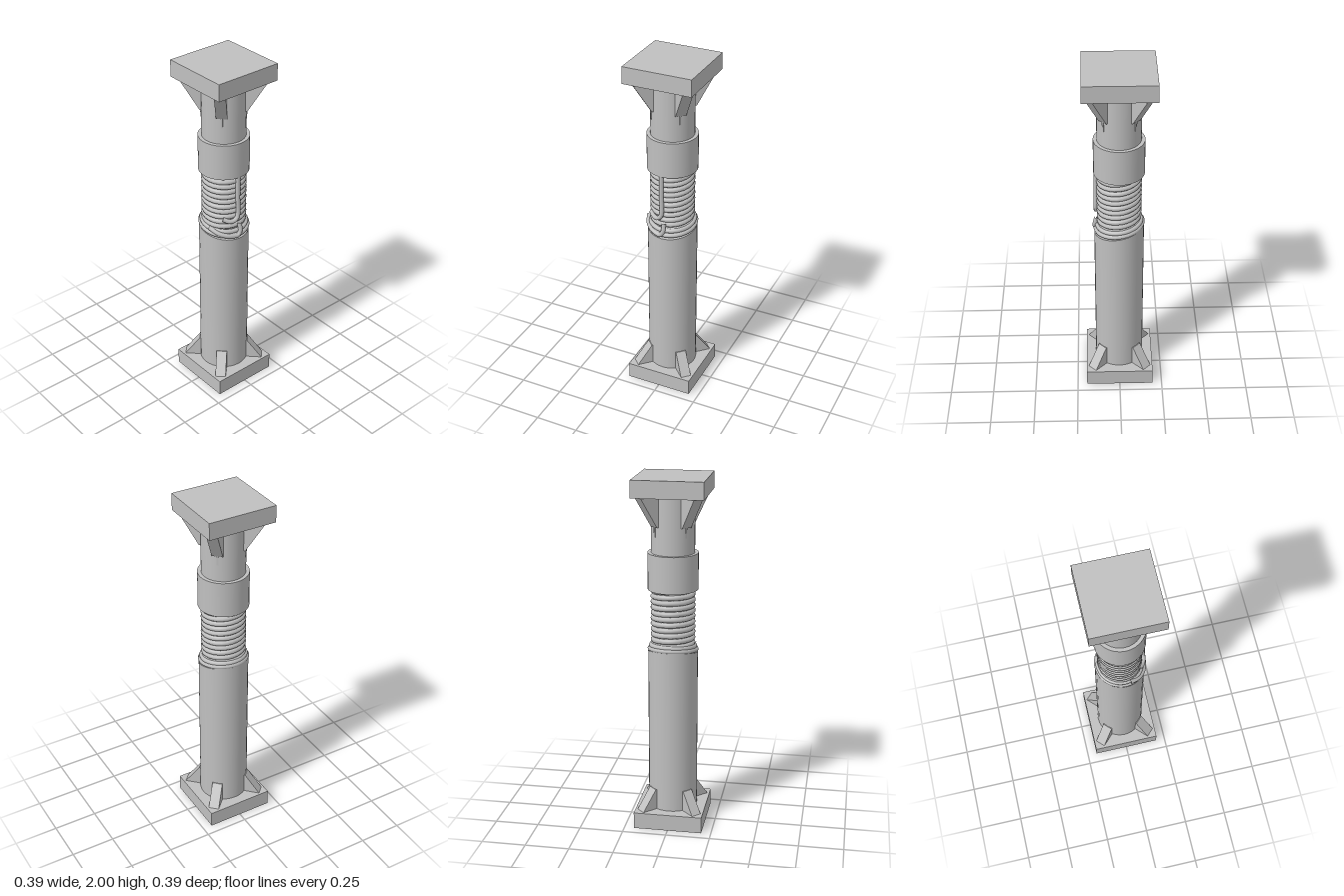
import * as THREE from 'three';

const steel = new THREE.MeshStandardMaterial({ color: 0xc0c0c0 });
steel.name = 'grey steel';

export function createModel() {
  const root = new THREE.Group();
  root.name = 'wrappedPost';

  const add = (name, geometry, x = 0, y = 0, z = 0) => {
    const mesh = new THREE.Mesh(geometry, steel);
    mesh.name = name;
    mesh.position.set(x, y, z);
    root.add(mesh);
    return mesh;
  };
  const cylinder = (name, r, y0, y1) =>
    add(name, new THREE.CylinderGeometry(r, r, y1 - y0, 32), 0, (y0 + y1) / 2, 0);
  const v = (x, y, z) => new THREE.Vector3(x, y, z);
  const rope = (name, points, segments, r = 0.015, closed = false) =>
    add(name, new THREE.TubeGeometry(new THREE.CatmullRomCurve3(points, closed), segments, r, 8, closed));

  // End plates
  add('basePlate', new THREE.BoxGeometry(0.39, 0.095, 0.39), 0, 0.0475, 0);
  add('topPlate', new THREE.BoxGeometry(0.39, 0.095, 0.39), 0, 1.9525, 0);

  // Lower sleeve with a slanted rim, lower at the front
  const sleeve = new THREE.CylinderGeometry(0.139, 0.139, 0.925, 32);
  const p = sleeve.attributes.position;
  for (let i = 0; i < p.count; i++) {
    if (p.getY(i) > 0) p.setY(i, p.getY(i) - p.getZ(i) * 0.2);
  }
  add('lowerSleeve', sleeve, 0, 0.095 + 0.4625, 0);

  // Inner post, core under the rope, and collar
  cylinder('ropeCore', 0.108, 0.98, 1.4);
  cylinder('upperPost', 0.12, 1.4, 1.91);
  cylinder('collar', 0.14, 1.38, 1.585);

  // Diagonal gussets at both ends
  const gusset = (name, profile, width) => {
    const shape = new THREE.Shape(profile.map(([r, y]) => new THREE.Vector2(r, y)));
    const geometry = new THREE.ExtrudeGeometry(shape, { depth: width, bevelEnabled: false });
    geometry.translate(0, 0, -width / 2);
    for (let i = 0; i < 4; i++) {
      add(name, geometry).rotation.y = Math.PI / 4 + (i * Math.PI) / 2;
    }
  };
  gusset('lowerGusset', [[0.1, 0.09], [0.232, 0.09], [0.142, 0.215], [0.1, 0.215]], 0.06);
  gusset('upperGusset', [[0.1, 1.735], [0.125, 1.735], [0.232, 1.908], [0.1, 1.908]], 0.06);
  gusset('upperGussetTip', [[0.11, 1.68], [0.121, 1.68], [0.126, 1.74], [0.11, 1.74]], 0.01);

  // Wound rope, tilted slightly down toward the front
  const coil = [];
  const turns = 10.5;
  for (let i = 0; i <= turns * 16; i++) {
    const a = (i / 16) * Math.PI * 2;
    const z = -Math.cos(a) * 0.11;
    coil.push(v(Math.sin(a) * 0.11, 1.375 - (i / 16) * 0.031 - z * 0.08, z));
  }
  rope('ropeCoil', coil, 260);

  // Looser loops resting on the sleeve rim
  [[0.13, 1.035, 0.15], [0.122, 1.055, 0.12]].forEach(([r, y, slope]) => {
    const loop = [];
    for (let i = 0; i < 16; i++) {
      const a = (i / 16) * Math.PI * 2;
      loop.push(v(Math.sin(a) * r, y - Math.cos(a) * r * slope, Math.cos(a) * r));
    }
    rope('looseLoop', loop, 40, 0.013, true);
  });

  // Hanging rope ends hooked to one side at the front
  rope('hangingEnd', [
    v(-0.008, 1.4, 0.126), v(-0.008, 1.25, 0.127), v(-0.008, 1.14, 0.128),
    v(-0.025, 1.115, 0.128), v(-0.055, 1.11, 0.118), v(-0.085, 1.125, 0.092),
  ], 28, 0.013);
  rope('lowerHook', [
    v(0.005, 1.085, 0.125), v(0.004, 1.04, 0.135), v(-0.012, 1.015, 0.135),
    v(-0.06, 1.02, 0.122), v(-0.105, 1.035, 0.085), v(-0.13, 1.06, 0.03),
  ], 28, 0.013);

  return root;
}
